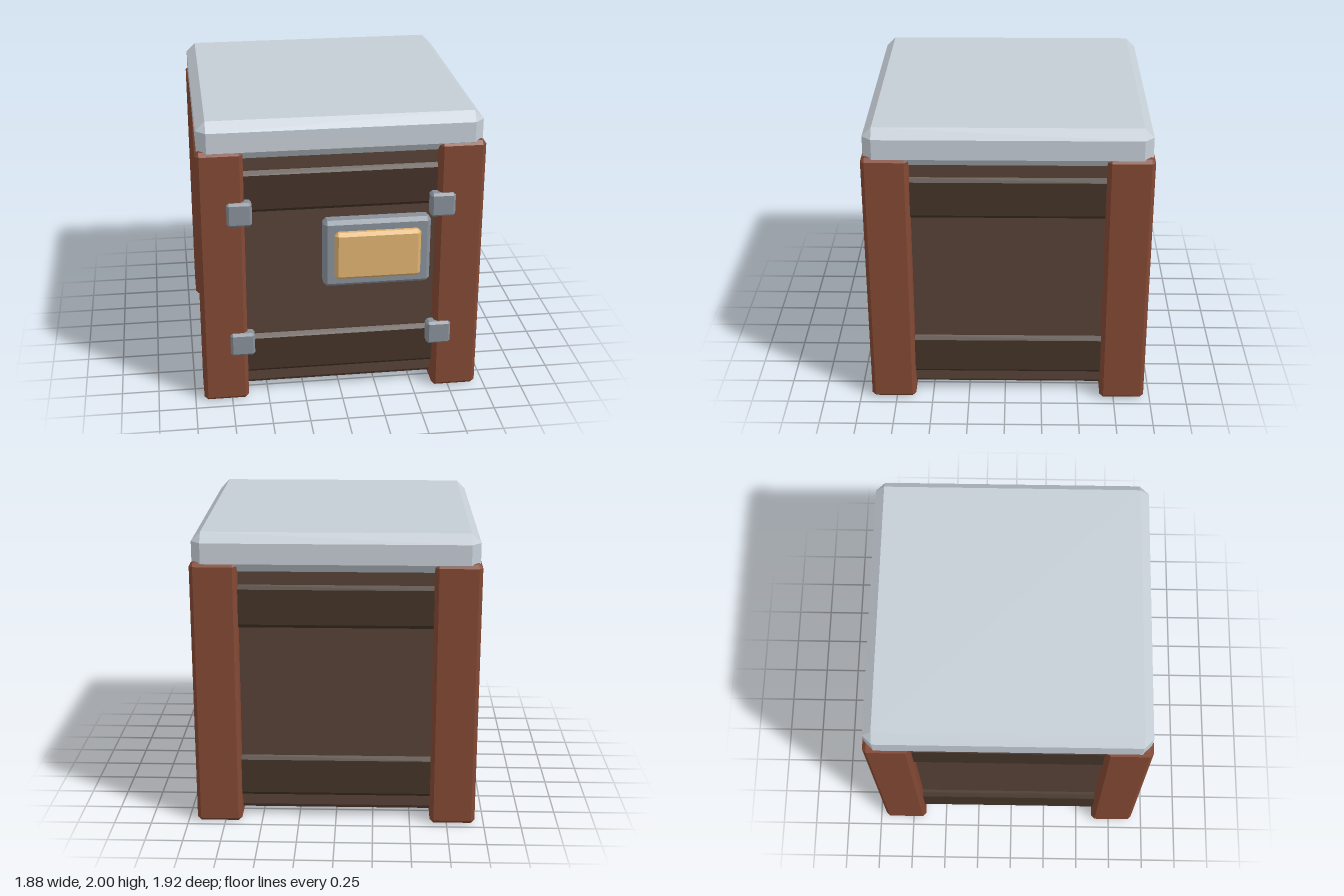
import * as THREE from 'three';
import { ConvexGeometry } from 'three/addons/geometries/ConvexGeometry.js';

const material = (color) => new THREE.MeshStandardMaterial({ color, flatShading: true });

// Box given by its min and max corners, with every edge cut by a flat bevel
function bevelBox(name, mat, min, max, bevel) {
  const half = min.map((v, i) => (max[i] - v) / 2);
  const points = [];
  for (const sx of [-1, 1]) for (const sy of [-1, 1]) for (const sz of [-1, 1]) {
    for (let axis = 0; axis < 3; axis++) {
      const p = [sx, sy, sz].map((s, i) => s * (i === axis ? half[i] : half[i] - bevel));
      points.push(new THREE.Vector3(...p));
    }
  }
  const mesh = new THREE.Mesh(new ConvexGeometry(points), mat);
  mesh.position.set(...min.map((v, i) => (v + max[i]) / 2));
  mesh.name = name;
  return mesh;
}

export function createModel() {
  const model = new THREE.Group();
  model.name = 'crate';
  const lidGrey = material(0xc5cdd5);
  const postWood = material(0x824833);
  const panelWood = material(0x574236);
  const railWood = material(0x443328);
  const metal = material(0x88909a);
  const brass = material(0xdfb270);
  const cz = -0.018; // the chest sits slightly back of centre; the label juts forward

  // Body
  model.add(bevelBox('body', panelWood, [-0.84, 0.055, cz - 0.84], [0.84, 1.77, cz + 0.84], 0.035));

  // Bands running round the body
  for (const y of [0.17, 1.36]) {
    model.add(bevelBox('band', railWood, [-0.885, y, cz - 0.885], [0.885, y + 0.29, cz + 0.885], 0.027));
  }

  // Corner posts
  for (const sx of [-1, 1]) for (const sz of [-1, 1]) {
    const x = sx * 0.788, z = cz + sz * 0.788, r = 0.152;
    model.add(bevelBox('cornerPost', postWood, [x - r, 0, z - r], [x + r, 1.81, z + r], 0.025));
  }

  // Lid
  model.add(bevelBox('lid', lidGrey, [-0.928, 1.74, cz - 0.928], [0.928, 2, cz + 0.928], 0.062));

  // Metal brackets on the front posts
  for (const x of [-0.67, 0.665]) for (const y of [0.432, 1.382]) {
    model.add(bevelBox('bracket', metal, [x - 0.082, y - 0.082, 0.855], [x + 0.082, y + 0.082, 0.945], 0.016));
  }

  // Label plate with its frame
  model.add(bevelBox('labelFrame', metal, [-0.12, 0.815, 0.8], [0.595, 1.29, 0.915], 0.025));
  model.add(bevelBox('labelPlate', brass, [-0.05, 0.885, 0.86], [0.523, 1.22, 0.96], 0.022));

  return model;
}
